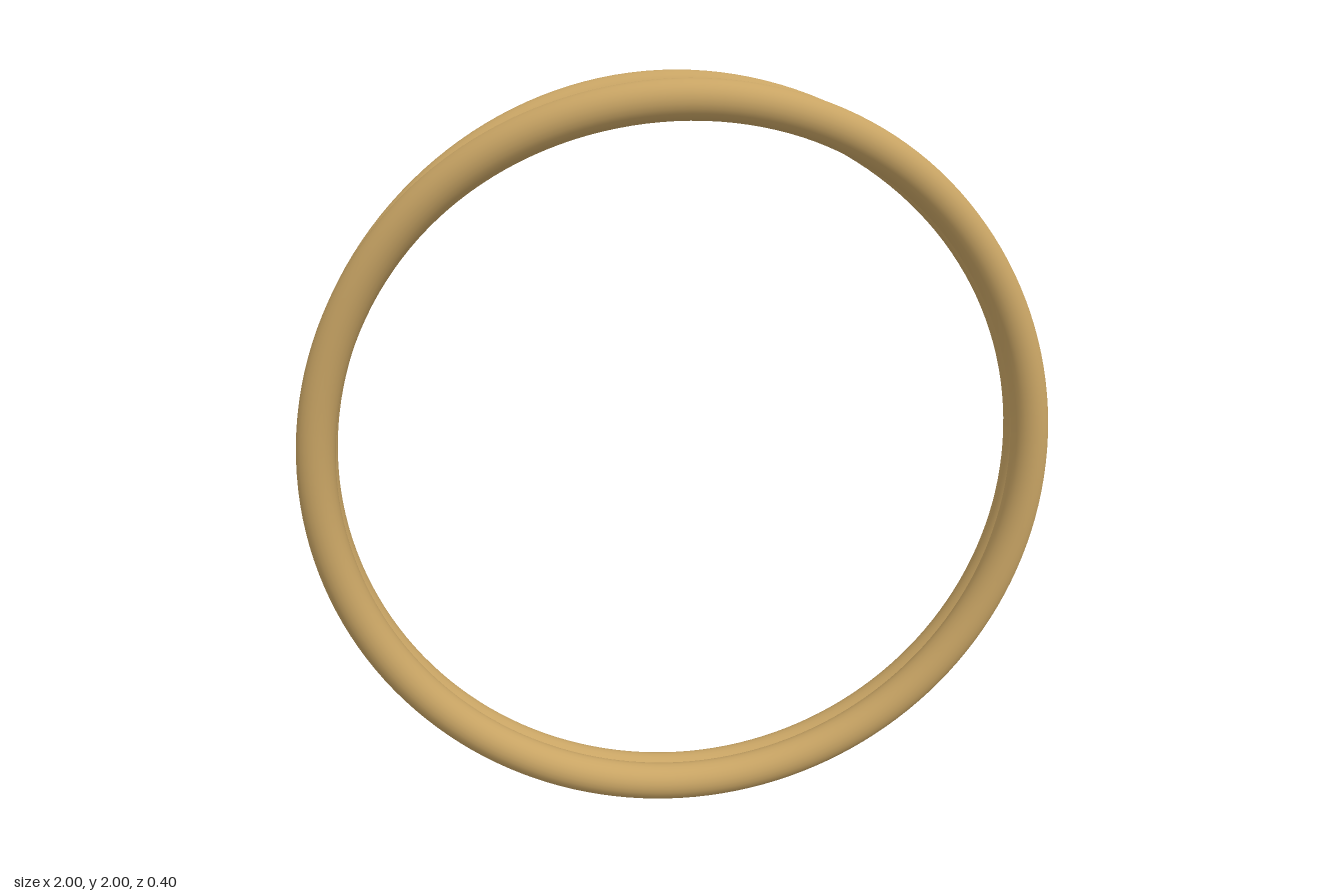
import * as THREE from 'three';

const RING = 0.95;   // centreline radius
const TUBE = 0.05;   // wire radius
const GAP = 0.03;    // offset where the two bands run side by side
const FLARE = 0.12;  // extra spread at the top

// Circle that bows outward in z over its upper half
class BandCurve extends THREE.Curve {
  constructor(side) {
    super();
    this.side = side;
  }
  getPoint(t, target = new THREE.Vector3()) {
    const a = t * Math.PI * 2;
    const lift = Math.max(0, Math.sin(a));
    return target.set(
      RING * Math.cos(a),
      1 + RING * Math.sin(a),
      this.side * (GAP + FLARE * lift ** 4)
    );
  }
}

export function createModel() {
  const group = new THREE.Group();
  group.name = 'splitRing';
  const gold = new THREE.MeshStandardMaterial({ color: 0xc8a464 });

  // Mirrored front and back bands
  for (const [name, side] of [['frontBand', 1], ['backBand', -1]]) {
    const band = new THREE.Mesh(
      new THREE.TubeGeometry(new BandCurve(side), 160, TUBE, 24, true),
      gold
    );
    band.name = name;
    group.add(band);
  }
  return group;
}
